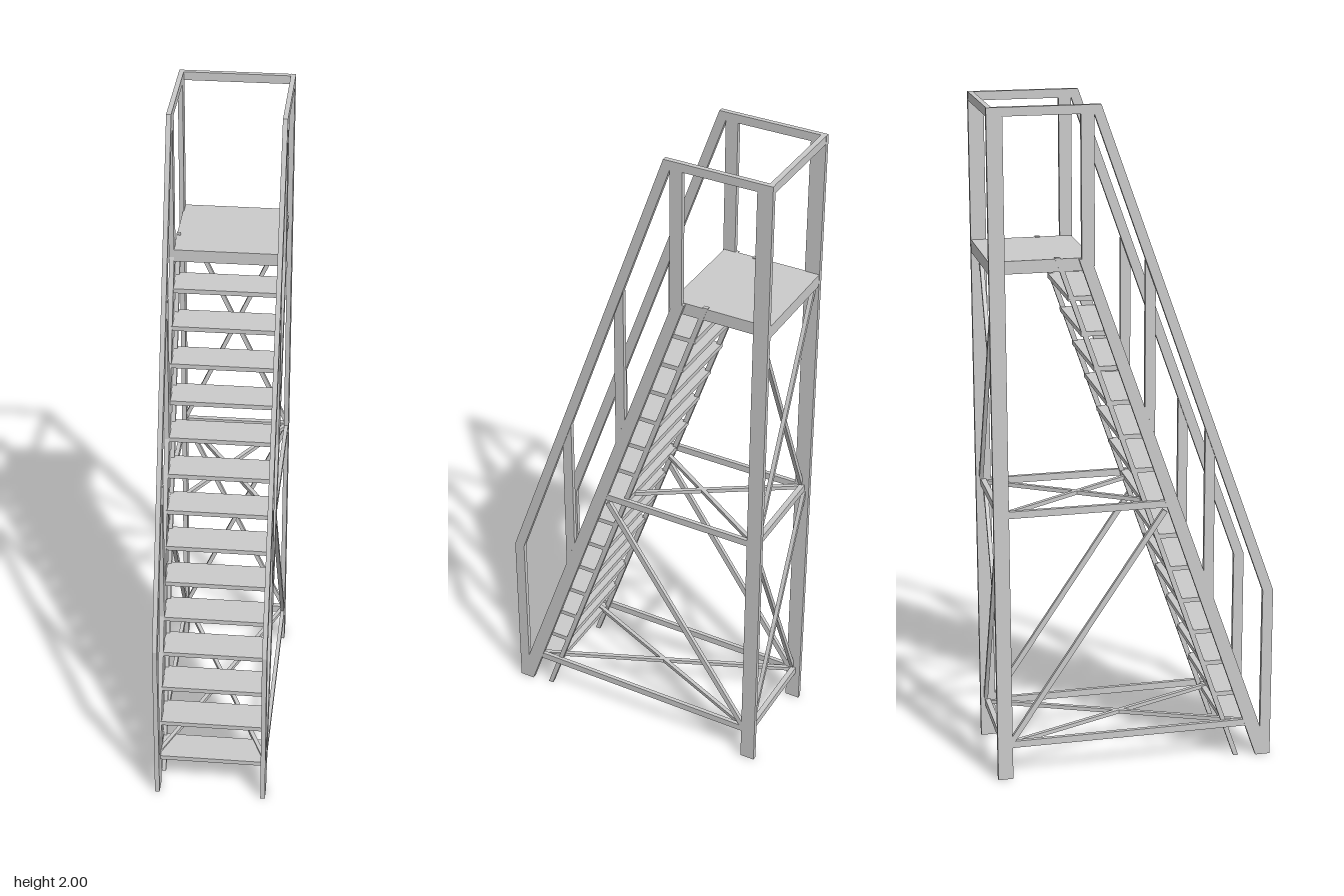
import * as THREE from 'three';

const material = new THREE.MeshStandardMaterial({ color: 0xcccccc });
const X = 0.161;      // side frame centre
const T = 0.014;      // side frame thickness
const BACK = -0.398;  // back frame centre

export function createModel() {
  const model = new THREE.Group();
  const add = (name, geometry) => {
    const mesh = new THREE.Mesh(geometry, material);
    mesh.name = name;
    model.add(mesh);
    return mesh;
  };

  // axis-aligned box given by its limits
  const box = (name, x0, x1, y0, y1, z0, z1) =>
    add(name, new THREE.BoxGeometry(x1 - x0, y1 - y0, z1 - z0))
      .position.set((x0 + x1) / 2, (y0 + y1) / 2, (z0 + z1) / 2);

  // flat profile in (z, y), extruded across x and centred on x
  const plate = (name, x, thickness, points) => {
    const shape = new THREE.Shape(points.map(([z, y]) => new THREE.Vector2(z, y)));
    const geometry = new THREE.ExtrudeGeometry(shape, { depth: thickness, bevelEnabled: false });
    geometry.translate(0, 0, -thickness / 2).rotateY(-Math.PI / 2);
    add(name, geometry).position.x = x;
  };

  // square bar between two points
  const bar = (name, a, b, width = 0.012, height = width) => {
    const from = new THREE.Vector3(...a), to = new THREE.Vector3(...b);
    const mesh = add(name, new THREE.BoxGeometry(width, height, from.distanceTo(to)));
    mesh.position.copy(from).add(to).multiplyScalar(0.5);
    mesh.lookAt(to);
  };

  // heights along the sloping lines
  const stringerFront = z => (0.42 - z) * 2.855;
  const railInner = z => 0.535 + (0.388 - z) * 2.82;

  for (const s of [-1, 1]) {
    const x = s * X;
    plate('backPost', x, T, [[-0.42, 0], [-0.375, 0], [-0.375, 2], [-0.42, 2]]);
    plate('stringer', x, T, [[0.375, 0], [0.42, 0], [-0.13, 1.57], [-0.165, 1.57]]);

    // lower newel, sloping handrail and level top rail in one piece
    plate('handrail', x, T, [
      [0.42, 0], [0.42, 0.535], [-0.1, 2], [-0.42, 2], [-0.42, 1.975],
      [-0.12, 1.975], [0.388, 0.535], [0.388, 0.09],
    ]);

    // uprights between stringer and handrail
    for (const z of [0.22, 0.04]) {
      const f = z + 0.015, b = z - 0.015;
      plate('railUpright', x, T, [
        [b, stringerFront(b)], [f, stringerFront(f)], [f, railInner(f)], [b, railInner(b)],
      ]);
    }
    plate('platformUpright', x, T, [[-0.157, 1.55], [-0.12, 1.55], [-0.12, 1.98], [-0.157, 1.98]]);

    // slim rear rod carrying the back of the treads
    plate('treadRod', s * 0.152, 0.012, [[0.308, 0], [0.323, 0], [-0.217, 1.575], [-0.232, 1.575]]);

    // side rails and side diagonal
    box('sideRail', x - 0.006, x + 0.006, 0.1, 0.121, BACK, 0.375);
    box('sideRail', x - 0.006, x + 0.006, 0.82, 0.841, BACK, 0.115);
    bar('sideBrace', [x, 0.81, 0.087], [x, 0.115, -0.38], 0.012, 0.016);

    // crossed braces of the back frame and of the two level frames
    for (const [low, high] of [[0.115, 0.825], [0.835, 1.545]]) {
      bar('backBrace', [-x, low, BACK + s * 0.006], [x, high, BACK + s * 0.006]);
    }
    bar('levelBrace', [-x, 0.11, BACK], [x, 0.11, 0.365], 0.012, 0.012);
    bar('levelBrace', [-x, 0.83, BACK], [x, 0.83, 0.11], 0.012, 0.012);
  }

  // treads
  for (let i = 1; i <= 14; i++) {
    const y = i * 0.104;
    const front = 0.419 - y / 2.855;
    box('tread', -0.157, 0.157, y - 0.007, y + 0.007, front - 0.104, front);
  }

  // platform and back rails
  box('platform', -0.157, 0.157, 1.535, 1.572, -0.419, -0.123);
  box('topBackRail', -0.157, 0.157, 1.975, 2, -0.419, -0.404);
  for (const y of [0.11, 0.83]) {
    box('backRail', -0.157, 0.157, y - 0.011, y + 0.011, BACK - 0.008, BACK + 0.008);
  }

  return model;
}
